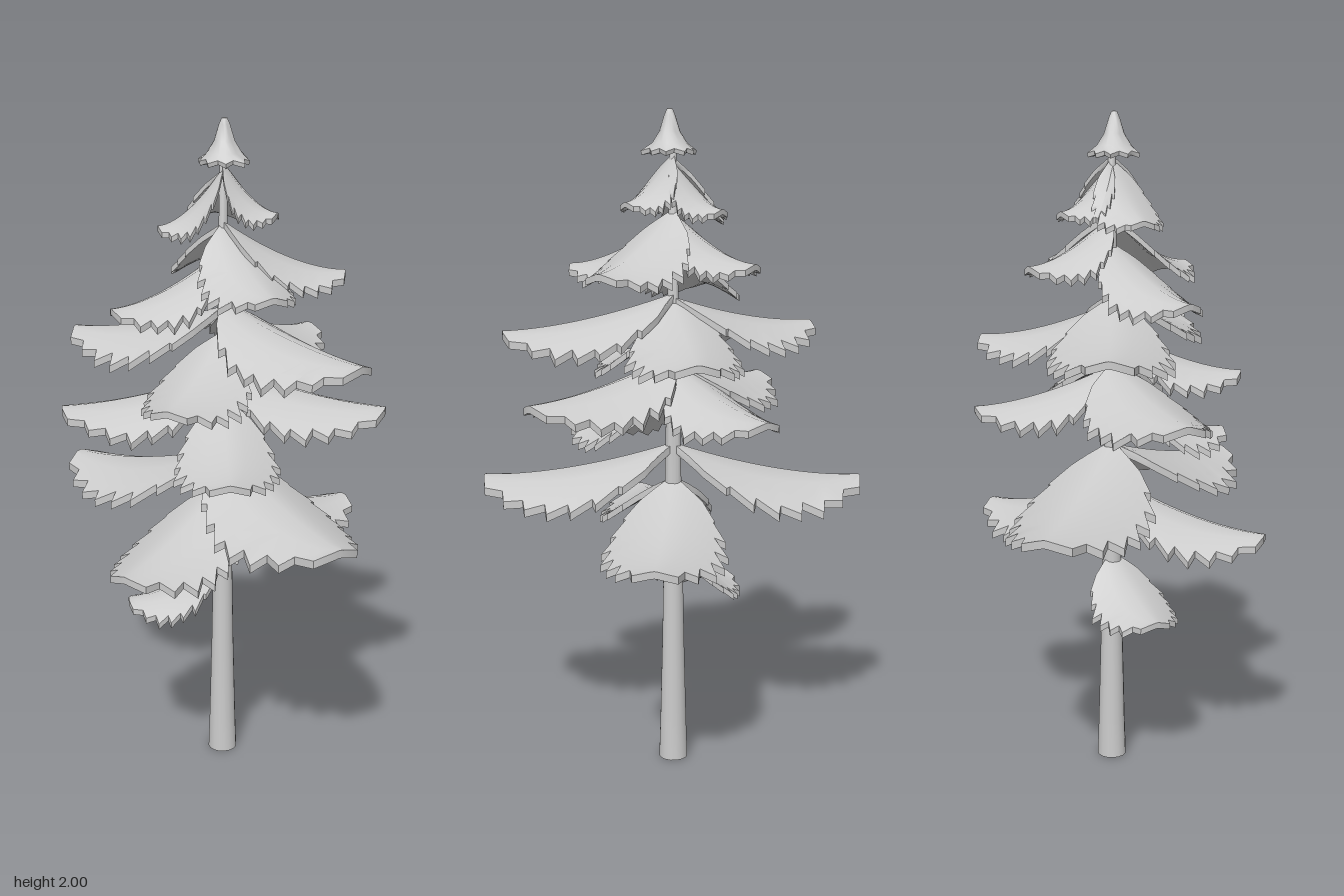
import * as THREE from 'three';
import { toCreasedNormals } from 'three/addons/utils/BufferGeometryUtils.js';

const material = new THREE.MeshStandardMaterial({ color: 0xcccccc });
const CX = 0.01, CZ = -0.005; // trunk axis

function seeded(seed) {
  let s = seed * 7919 + 13;
  return () => (s = (s * 16807) % 2147483647) / 2147483647;
}

// Arched, saw-toothed bough: a thin shell running along local +x, falling from the root to the tip
function boughGeometry(length, fall, seed) {
  const rand = seeded(seed);
  const teeth = 8, rows = teeth * 2;
  const columns = [-1, -0.78, -0.4, 0, 0.4, 0.78, 1];
  const halfWidth = 0.06 + 0.235 * length;
  const thickness = 0.012 + 0.02 * length;
  const outline = u => 0.09 + 0.93 * Math.pow(Math.max(0, Math.sin(Math.PI * Math.pow(u, 0.9))), 0.7);
  const surface = (u, v) => new THREE.Vector3(
    u * length,
    -fall * (1 - Math.pow(Math.max(0, 1 - u), 1.7)) - 0.45 * halfWidth * Math.pow(Math.abs(v) / halfWidth, 1.4),
    v
  );

  // Cross-sections from root to tip; the outer column alternates tooth and notch
  const top = [];
  for (let i = 0; i <= rows; i++) {
    const u = i / rows;
    top.push(columns.map(f => {
      if (Math.abs(f) < 1) return surface(u, f * 0.92 * halfWidth * outline(u));
      const tooth = i % 2 === 1;
      const reach = (tooth ? 1.03 : 0.85) + (rand() - 0.5) * 0.08;
      const shift = i === 0 || i === rows ? 0 : tooth ? 0.03 : -0.01;
      return surface(Math.min(1, u + shift), f * reach * halfWidth * outline(u));
    }));
  }
  const bottom = top.map(row => row.map(p => p.clone().setY(p.y - thickness)));

  const positions = [];
  const quad = (a, b, c, d) => [a, b, c, b, d, c].forEach(p => positions.push(p.x, p.y, p.z));
  const last = columns.length - 1;
  for (let i = 0; i < rows; i++) {
    for (let j = 0; j < last; j++) {
      quad(top[i][j], top[i][j + 1], top[i + 1][j], top[i + 1][j + 1]);
      quad(bottom[i][j], bottom[i + 1][j], bottom[i][j + 1], bottom[i + 1][j + 1]);
    }
    quad(top[i][0], top[i + 1][0], bottom[i][0], bottom[i + 1][0]);
    quad(top[i][last], bottom[i][last], top[i + 1][last], bottom[i + 1][last]);
  }
  for (let j = 0; j < last; j++) {
    quad(top[rows][j], top[rows][j + 1], bottom[rows][j], bottom[rows][j + 1]);
  }
  const geometry = new THREE.BufferGeometry();
  geometry.setAttribute('position', new THREE.Float32BufferAttribute(positions, 3));
  return toCreasedNormals(geometry, 0.75);
}

// Flared trunk
function makeTrunk() {
  const profile = [[0, 0], [0.045, 0], [0.041, 0.12], [0.034, 0.4], [0.028, 0.75], [0.02, 1.2], [0.01, 1.9], [0, 1.92]];
  const geometry = new THREE.LatheGeometry(profile.map(([r, y]) => new THREE.Vector2(r, y)), 16);
  const trunk = new THREE.Mesh(toCreasedNormals(geometry, 0.8), material);
  trunk.name = 'trunk';
  trunk.position.set(CX, 0, CZ);
  return trunk;
}

// Pointed crown with a ragged hem
function makeCrown() {
  const profile = [[0, 1.885], [0.05, 1.875], [0.075, 1.868], [0.078, 1.88], [0.05, 1.903], [0.03, 1.935], [0.016, 1.98], [0.008, 1.998], [0, 2]];
  const segments = 18;
  const geometry = new THREE.LatheGeometry(profile.map(([r, y]) => new THREE.Vector2(r, y)), segments);
  const position = geometry.attributes.position;
  for (let i = 0; i < position.count; i++) {
    const ring = Math.floor(i / profile.length) % segments;
    const row = i % profile.length;
    if (row !== 2 && row !== 3) continue;
    const scale = ring % 2 ? 0.8 : 1 + 0.08 * Math.sin(ring * 1.9);
    position.setX(i, position.getX(i) * scale);
    position.setZ(i, position.getZ(i) * scale);
    position.setY(i, position.getY(i) + (ring % 2 ? 0.008 : 0));
  }
  const crown = new THREE.Mesh(toCreasedNormals(geometry, 0.75), material);
  crown.name = 'crown';
  crown.position.set(CX + 0.008, 0, 0);
  return crown;
}

// Boughs from bottom to top: [tip x, tip z, root y, tip y]
const boughs = [
  [-0.2, 0.2, 0.67, 0.54],
  [0.02, 0.47, 0.91, 0.77],
  [0.16, -0.46, 0.91, 0.77],
  [-0.58, -0.01, 1.02, 0.89],
  [0.56, 0.2, 1.02, 0.9],
  [0.25, 0.28, 1.18, 1.04],
  [-0.34, 0.32, 1.26, 1.17],
  [0.46, -0.19, 1.28, 1.19],
  [-0.18, -0.37, 1.26, 1.15],
  [0.1, 0.37, 1.38, 1.25],
  [-0.45, 0.13, 1.46, 1.36],
  [0.51, 0.03, 1.47, 1.37],
  [0.03, -0.43, 1.45, 1.33],
  [-0.17, 0.28, 1.62, 1.48],
  [0.29, 0.14, 1.7, 1.55],
  [0.27, -0.25, 1.71, 1.56],
  [-0.19, -0.19, 1.7, 1.57],
  [-0.12, 0.13, 1.86, 1.7],
  [-0.11, -0.12, 1.85, 1.72],
  [0.16, -0.06, 1.87, 1.74],
];

export function createModel() {
  const tree = new THREE.Group();
  tree.name = 'coniferTree';
  const foliage = new THREE.Group();
  foliage.name = 'foliage';
  boughs.forEach(([x, z, rootY, tipY], i) => {
    const dx = x - CX, dz = z - CZ;
    const bough = new THREE.Mesh(boughGeometry(Math.hypot(dx, dz), rootY - tipY, i + 1), material);
    bough.name = `bough${i + 1}`;
    bough.position.set(CX, rootY, CZ);
    bough.rotation.y = Math.atan2(-dz, dx);
    foliage.add(bough);
  });
  tree.add(makeTrunk(), foliage, makeCrown());
  return tree;
}
